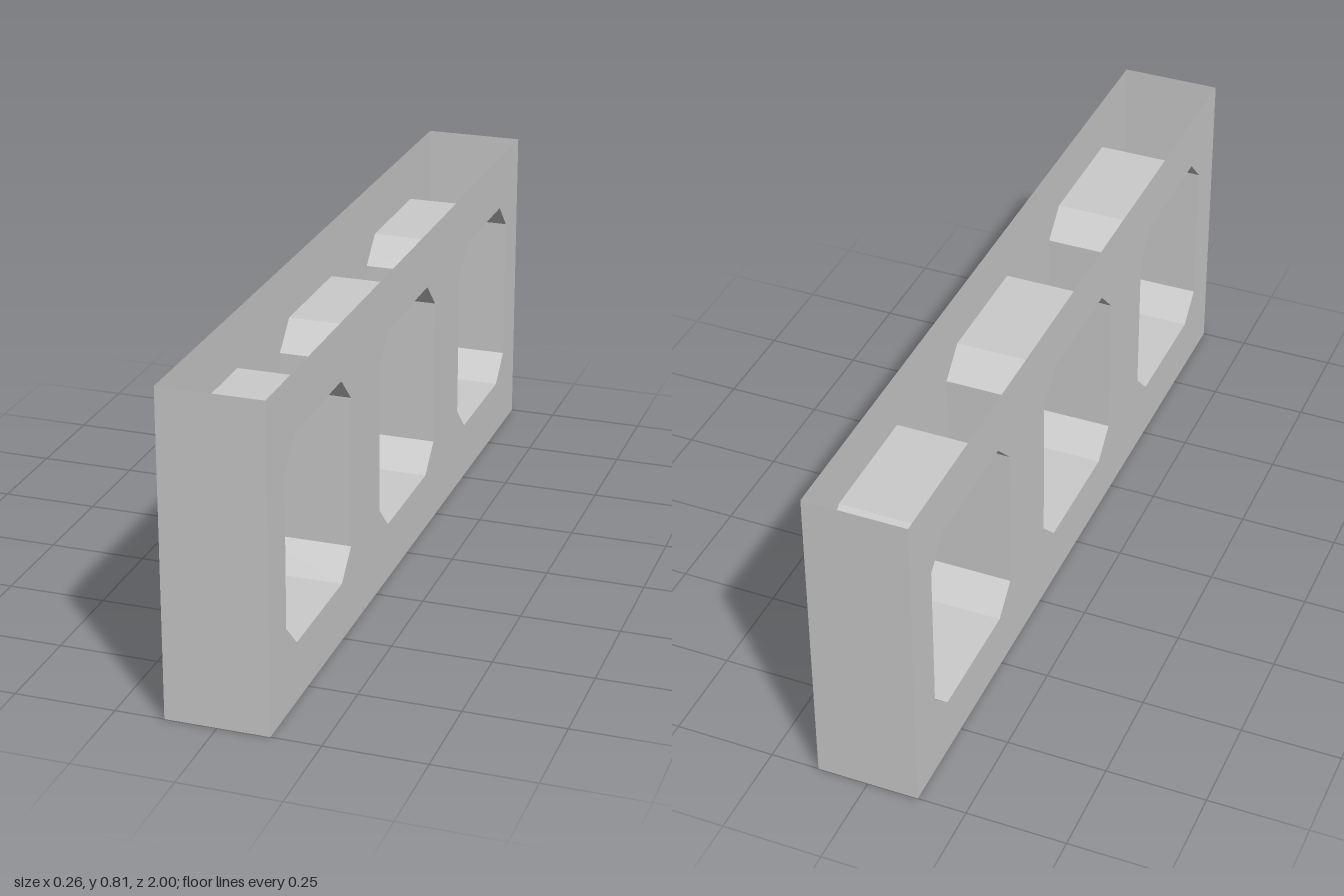
import * as THREE from 'three';

const W = 0.128, H = 0.815, L = 1; // half width, height, half length
const holeCentres = [-0.665, 0, 0.665];

// Chamfered rectangular opening as [z, y] corners, counter-clockwise
function openingCorners(zc) {
  const a = zc - 0.225, b = zc + 0.225, lo = 0.15, hi = 0.67, c = 0.068;
  return [
    [a + c, lo], [b - c, lo], [b, lo + c], [b, hi - c],
    [b - c, hi], [a + c, hi], [a, hi - c], [a, lo + c],
  ];
}

// Flat side wall pierced by the three openings
function sideWall() {
  const shape = new THREE.Shape([[-L, 0], [L, 0], [L, H], [-L, H]].map(p => new THREE.Vector2(...p)));
  for (const zc of holeCentres) {
    shape.holes.push(new THREE.Path(openingCorners(zc).map(p => new THREE.Vector2(...p))));
  }
  return new THREE.ShapeGeometry(shape);
}

// Open-ended lining running across the box, facing into the opening
function tunnel(zc) {
  const pts = openingCorners(zc), pos = [];
  pts.forEach(([z0, y0], i) => {
    const [z1, y1] = pts[(i + 1) % pts.length];
    const a = [-W, y0, z0], b = [W, y0, z0], c = [W, y1, z1], d = [-W, y1, z1];
    pos.push(...a, ...c, ...b, ...a, ...d, ...c);
  });
  const g = new THREE.BufferGeometry();
  g.setAttribute('position', new THREE.Float32BufferAttribute(pos, 3));
  g.computeVertexNormals();
  return g;
}

export function createModel() {
  const group = new THREE.Group();
  group.name = 'openToppedBlock';
  const mat = new THREE.MeshStandardMaterial({ color: 0xcccccc, flatShading: true, side: THREE.DoubleSide });
  const add = (name, geometry) => {
    const mesh = new THREE.Mesh(geometry, mat);
    mesh.name = name;
    group.add(mesh);
  };

  // Long pierced walls
  add('rightWall', sideWall().rotateY(-Math.PI / 2).translate(-W, 0, 0));
  add('leftWall', sideWall().rotateY(Math.PI / 2).translate(W, 0, 0));

  // End walls and floor; the top stays open
  add('frontWall', new THREE.PlaneGeometry(2 * W, H).translate(0, H / 2, L));
  add('backWall', new THREE.PlaneGeometry(2 * W, H).rotateY(Math.PI).translate(0, H / 2, -L));
  add('floor', new THREE.PlaneGeometry(2 * W, 2 * L).rotateX(Math.PI / 2));

  // Linings of the openings
  holeCentres.forEach((zc, i) => add('openingLining' + (i + 1), tunnel(zc)));

  return group;
}
